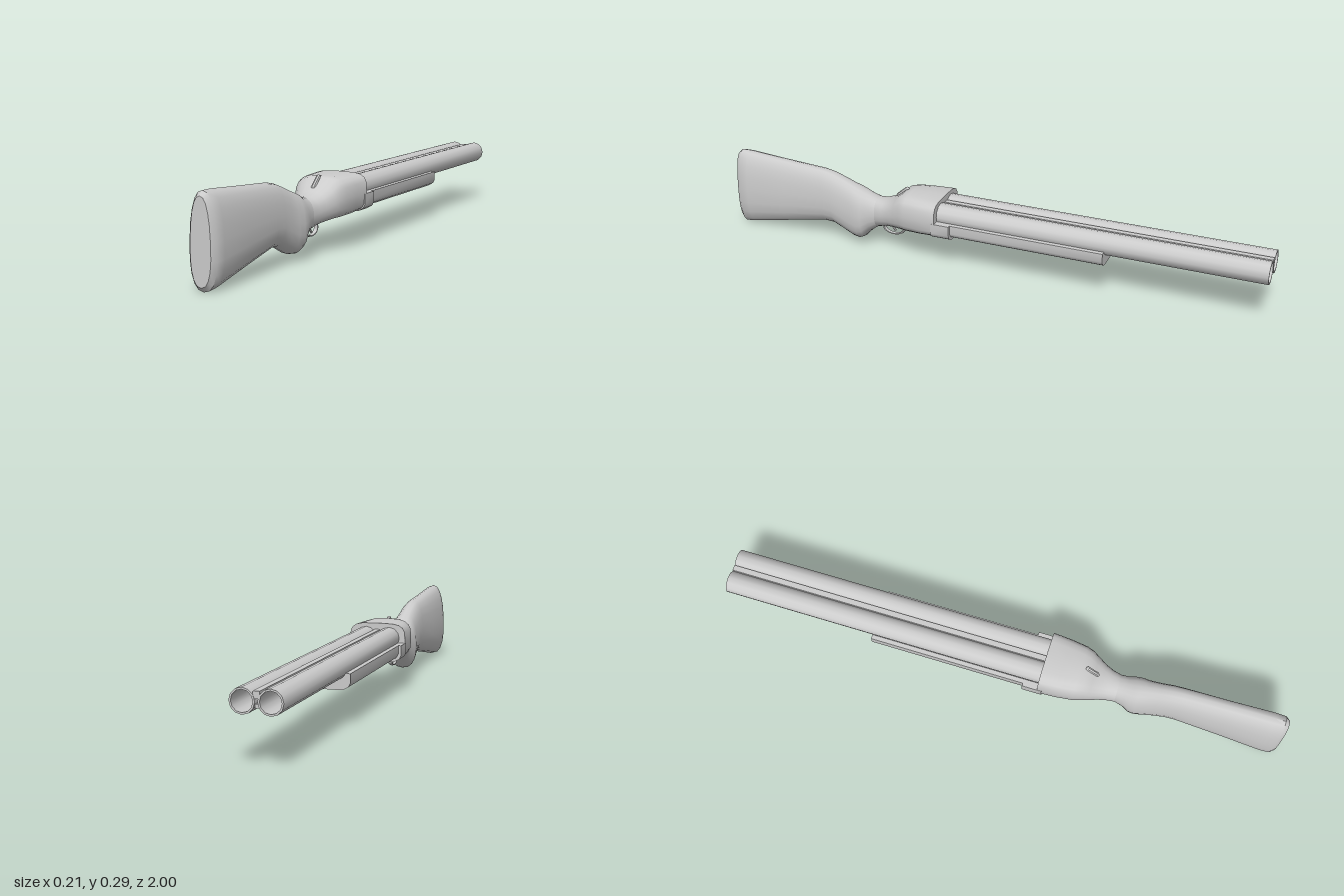
import * as THREE from 'three';
import { toCreasedNormals } from 'three/addons/utils/BufferGeometryUtils.js';

const BARREL = { x: 0.043, y: 0.197, r: 0.039 };

export function createModel() {
  const model = new THREE.Group();
  const grey = new THREE.MeshStandardMaterial({ color: 0xcccccc, side: THREE.DoubleSide });

  function add(name, geometry, crease = 0.7) {
    const mesh = new THREE.Mesh(toCreasedNormals(geometry, crease), grey);
    mesh.name = name;
    model.add(mesh);
    return mesh;
  }

  // Loft of superellipse rings: [z, bottom, top, halfWidth, exponent, taper], from +z to -z
  function loft(rings, n = 20) {
    const pos = [], index = [];
    const power = (v, e) => Math.sign(v) * Math.abs(v) ** (2 / e);
    for (const [z, bottom, top, w, e, taper] of rings) {
      for (let j = 0; j < n; j++) {
        const a = (j / n) * Math.PI * 2;
        const v = power(Math.sin(a), e);
        pos.push(w * power(Math.cos(a), e) * (1 - taper * v), (top + bottom) / 2 + v * (top - bottom) / 2, z);
      }
    }
    const last = (rings.length - 1) * n, capA = rings.length * n, capB = capA + 1;
    for (const [z, bottom, top] of [rings[0], rings[rings.length - 1]]) pos.push(0, (top + bottom) / 2, z);
    for (let j = 0; j < n; j++) {
      const k = (j + 1) % n;
      for (let i = 0; i < last; i += n) index.push(i + j, i + n + j, i + k, i + k, i + n + j, i + n + k);
      index.push(capA, j, k, capB, last + k, last + j);
    }
    const g = new THREE.BufferGeometry();
    g.setAttribute('position', new THREE.Float32BufferAttribute(pos, 3));
    g.setIndex(index);
    return g;
  }

  // Trough with two scallops that cradle the barrels
  function cradle(hw, bottom, z0, z1) {
    const s = new THREE.Shape();
    s.moveTo(-hw + 0.025, bottom);
    s.lineTo(hw - 0.025, bottom);
    s.lineTo(hw - 0.006, bottom + 0.011);
    s.lineTo(hw, bottom + 0.024);
    s.lineTo(hw, 0.18);
    for (const side of [1, -1]) s.absarc(side * BARREL.x, BARREL.y, BARREL.r, -0.43, -Math.PI + 0.43, true);
    s.lineTo(-hw, 0.18);
    s.lineTo(-hw, bottom + 0.024);
    s.lineTo(-hw + 0.006, bottom + 0.011);
    const g = new THREE.ExtrudeGeometry(s, { depth: z1 - z0, bevelEnabled: false, curveSegments: 6 });
    return g.translate(0, 0, z0);
  }

  // Shoulder stock with its grip swelling
  const neck = [0.42, 0.083, 0.196, 0.046, 2.3, 0];
  add('stock', loft([
    [1.0, 0.018, 0.28, 0.034, 2.4, 0.12],
    [0.985, 0.003, 0.294, 0.046, 2.4, 0.12],
    [0.95, 0.007, 0.294, 0.049, 2.4, 0.12],
    [0.8, 0.037, 0.283, 0.046, 2.4, 0.12],
    [0.64, 0.068, 0.272, 0.045, 2.4, 0.1],
    [0.6, 0.067, 0.264, 0.046, 2.4, 0.1],
    [0.56, 0.048, 0.25, 0.047, 2.4, 0.1],
    [0.52, 0.029, 0.234, 0.051, 2.4, 0.08],
    [0.495, 0.025, 0.225, 0.056, 2.4, 0.06],
    [0.475, 0.034, 0.217, 0.056, 2.4, 0.05],
    [0.45, 0.061, 0.206, 0.049, 2.3, 0.03],
    neck,
  ]));

  // Receiver, flaring forward to a broad squared breech face
  add('receiver', loft([
    neck,
    [0.39, 0.093, 0.196, 0.052, 2.4, 0],
    [0.36, 0.099, 0.207, 0.062, 2.5, 0],
    [0.33, 0.103, 0.226, 0.076, 2.7, 0],
    [0.305, 0.106, 0.247, 0.086, 3, 0],
    [0.28, 0.108, 0.25, 0.093, 3.3, 0],
    [0.22, 0.112, 0.25, 0.1, 3.7, 0],
    [0.155, 0.118, 0.25, 0.104, 4, 0],
  ]));
  add('receiverLip', cradle(0.104, 0.12, 0.1, 0.17));

  // Fore-end under the barrels
  add('foreEnd', cradle(0.094, 0.126, -0.455, 0.12));

  // Hollow barrels
  const { r } = BARREL, bore = 0.033;
  const profile = [[r, 0], [r, 1.17], [bore, 1.17], [bore, 0], [r, 0]].map(([x, y]) => new THREE.Vector2(x, y));
  for (const side of [1, -1]) {
    const tube = new THREE.LatheGeometry(profile, 12).rotateX(-Math.PI / 2);
    add(side > 0 ? 'leftBarrel' : 'rightBarrel', tube).position.set(side * BARREL.x, BARREL.y, 0.17);
  }

  // Ribs joining the barrels
  add('topRib', new THREE.BoxGeometry(0.02, 0.022, 1.165)).position.set(0, 0.216, -0.416);
  add('bottomRib', new THREE.BoxGeometry(0.014, 0.012, 1.16)).position.set(0, 0.183, -0.412);

  // Opening lever on the rear slope of the receiver
  const lever = add('topLever', new THREE.CapsuleGeometry(0.008, 0.045, 4, 8));
  lever.position.set(0, 0.233, 0.322);
  lever.rotation.x = Math.PI / 2 + 0.7;

  // Trigger guard loop and trigger
  const guard = new THREE.TorusGeometry(0.04, 0.005, 6, 24).rotateY(Math.PI / 2).scale(1.6, 0.6, 1);
  add('triggerGuard', guard, 1).position.set(0, 0.085, 0.362);
  const curve = new THREE.QuadraticBezierCurve3(
    new THREE.Vector3(0, 0.108, 0.365),
    new THREE.Vector3(0, 0.085, 0.372),
    new THREE.Vector3(0, 0.072, 0.355),
  );
  add('trigger', new THREE.TubeGeometry(curve, 6, 0.004, 6), 1);

  return model;
}
